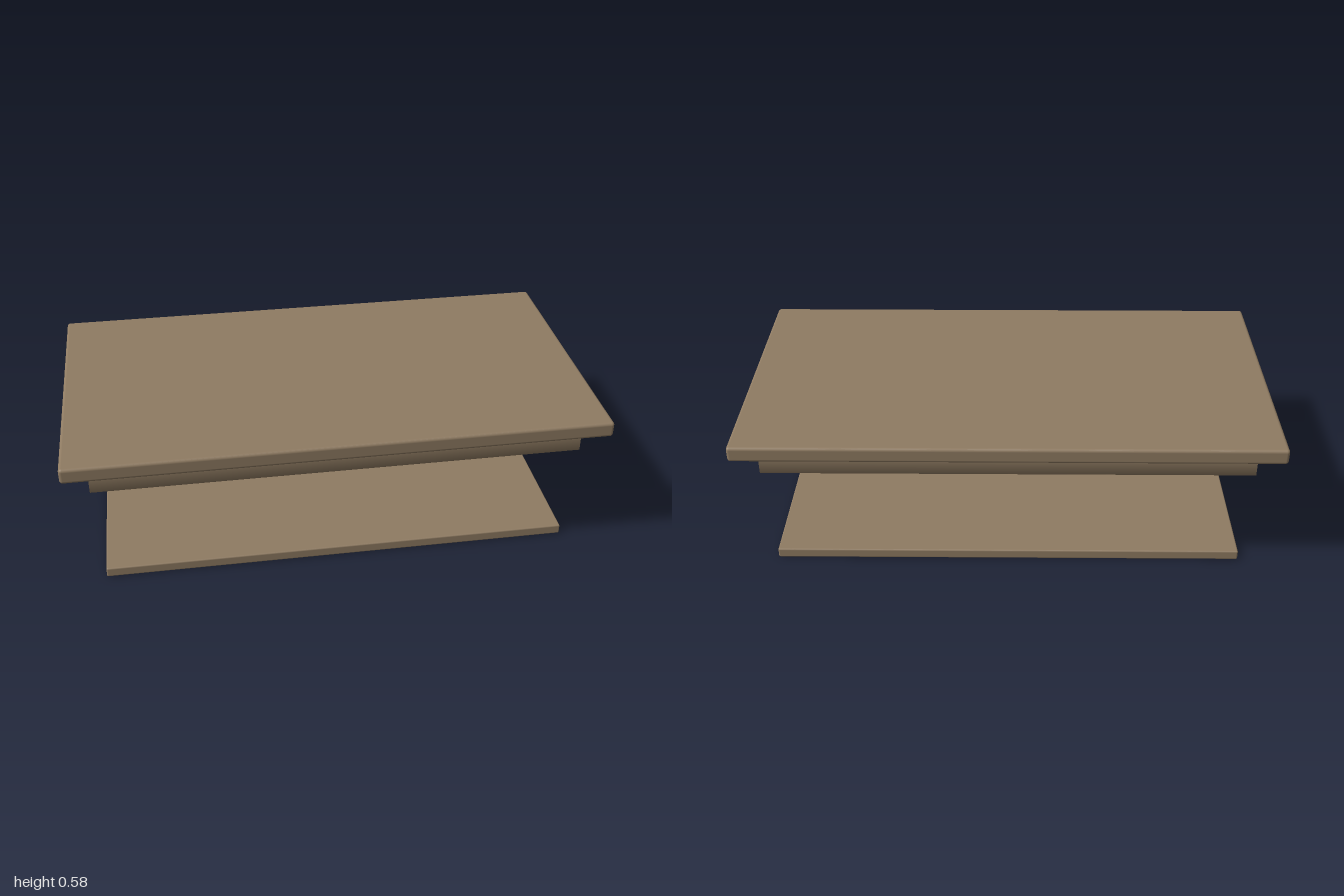
import * as THREE from 'three';
import { RoundedBoxGeometry } from 'three/addons/geometries/RoundedBoxGeometry.js';
import { toCreasedNormals } from 'three/addons/utils/BufferGeometryUtils.js';

const wood = new THREE.MeshStandardMaterial({ color: 0x8f7b62 });
wood.name = 'brown wood';

// Board with softened edges, its underside at height y
function board(name, width, height, depth, radius, y) {
  const mesh = new THREE.Mesh(new RoundedBoxGeometry(width, height, depth, 4, radius), wood);
  mesh.name = name;
  mesh.position.y = y + height / 2;
  return mesh;
}

// Rail along x: rounded cross-section with flat cut ends
function railGeometry(length, height, depth, r) {
  const x = depth / 2, y = height / 2;
  const shape = new THREE.Shape();
  shape.absarc(x - r, y - r, r, 0, Math.PI / 2);
  shape.absarc(-x + r, y - r, r, Math.PI / 2, Math.PI);
  shape.absarc(-x + r, -y + r, r, Math.PI, Math.PI * 1.5);
  shape.absarc(x - r, -y + r, r, Math.PI * 1.5, Math.PI * 2);
  shape.closePath();
  const geometry = new THREE.ExtrudeGeometry(shape, { depth: length, bevelEnabled: false, curveSegments: 4 });
  geometry.translate(0, 0, -length / 2).rotateY(Math.PI / 2);
  return toCreasedNormals(geometry, 0.7);
}

export function createModel() {
  const group = new THREE.Group();
  group.name = 'table';

  group.add(board('tableTop', 2, 0.06, 1.09, 0.012, 0.521));
  group.add(board('lowerShelf', 1.78, 0.039, 0.872, 0.006, 0));

  // Long rails beneath the top, front and back
  const rail = railGeometry(1.816, 0.1, 0.034, 0.006);
  for (const side of [1, -1]) {
    const mesh = new THREE.Mesh(rail, wood);
    mesh.name = side > 0 ? 'frontRail' : 'backRail';
    mesh.position.set(0, 0.471, side * 0.454);
    group.add(mesh);
  }
  return group;
}
